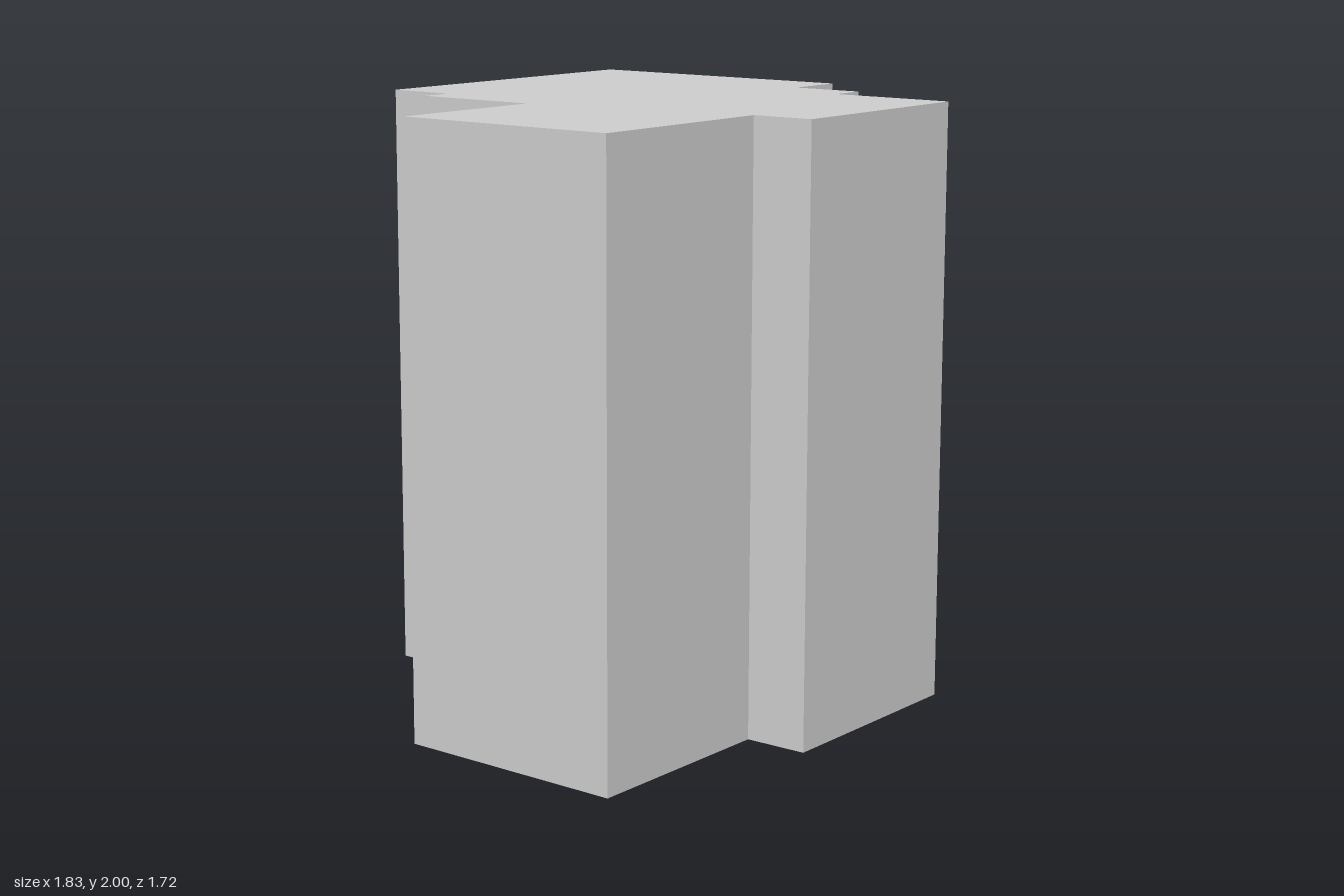
import * as THREE from 'three';

const HEIGHT = 2;

// Floor plan outline as [x, z], clockwise seen from above
const PLAN = [
  [-0.248, -0.845], [0.897, -0.862], [0.912, 0.143], [0.696, 0.148],
  [0.7, 0.403], [0.573, 0.405], [0.579, 0.843], [-0.19, 0.859],
  [-0.197, 0.645], [-0.905, 0.656], [-0.915, -0.145], [-0.348, -0.154],
  [-0.357, -0.601], [-0.245, -0.602],
];

// One flat quad per plan edge, facing outward
function wallGeometry(plan, height) {
  const positions = [];
  plan.forEach(([ax, az], i) => {
    const [bx, bz] = plan[(i + 1) % plan.length];
    positions.push(bx, 0, bz, ax, 0, az, ax, height, az);
    positions.push(bx, 0, bz, ax, height, az, bx, height, bz);
  });
  const geometry = new THREE.BufferGeometry();
  geometry.setAttribute('position', new THREE.Float32BufferAttribute(positions, 3));
  geometry.computeVertexNormals();
  return geometry;
}

// Flat cap filling the plan outline
function roofGeometry(plan, height) {
  const shape = new THREE.Shape(plan.map(([x, z]) => new THREE.Vector2(x, -z)));
  return new THREE.ShapeGeometry(shape).rotateX(-Math.PI / 2).translate(0, height, 0);
}

export function createModel() {
  const group = new THREE.Group();
  group.name = 'building';
  const material = new THREE.MeshStandardMaterial({
    color: 0xcccccc, flatShading: true, side: THREE.DoubleSide,
  });

  // Outer walls, open at the ground
  const walls = new THREE.Mesh(wallGeometry(PLAN, HEIGHT), material);
  walls.name = 'walls';

  // Flat roof
  const roof = new THREE.Mesh(roofGeometry(PLAN, HEIGHT), material);
  roof.name = 'roof';

  group.add(walls, roof);
  return group;
}
